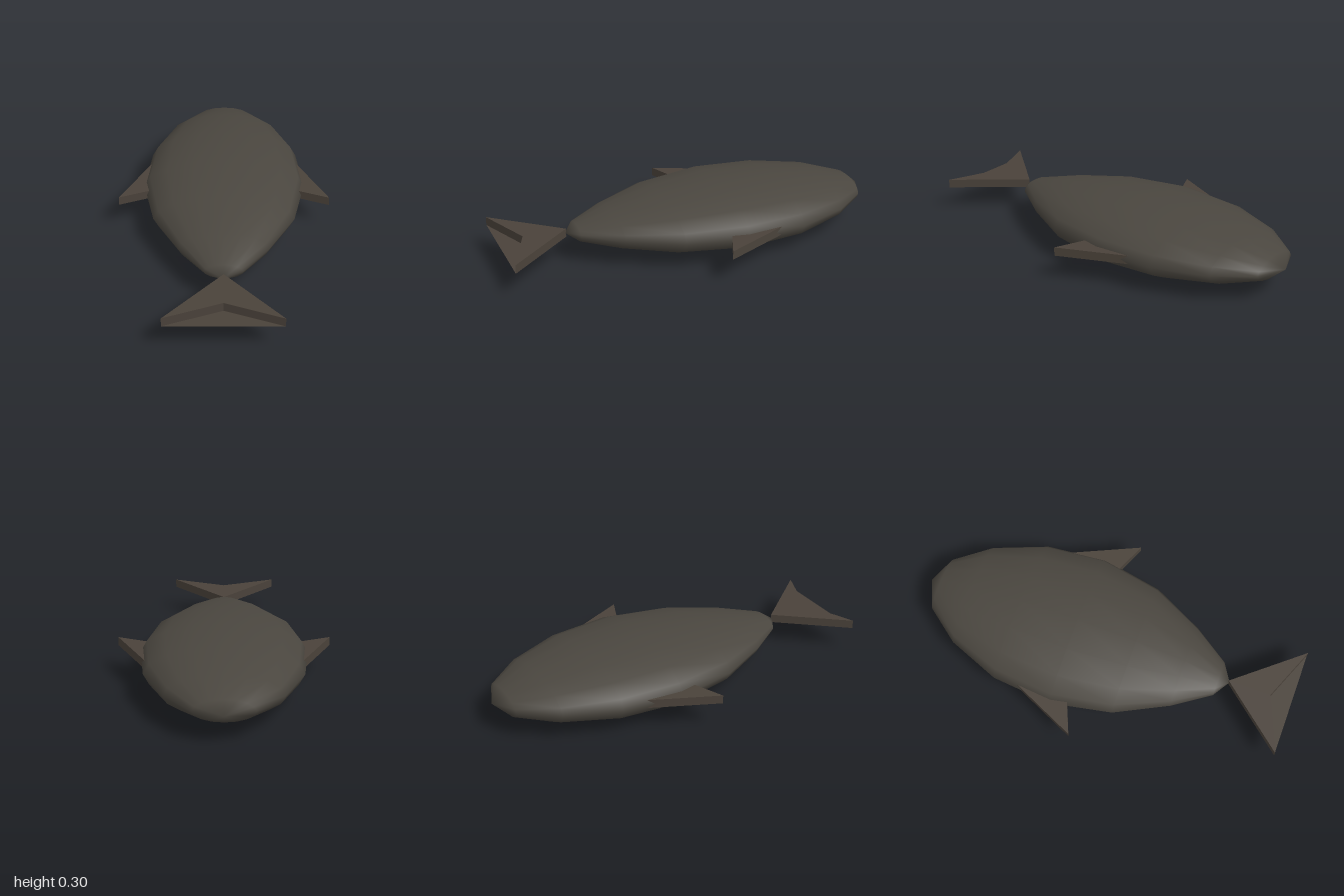
import * as THREE from 'three';

const MID = 0.155;      // height of the body's centre line
const FIN_T = 0.045;    // fin thickness

// Lofted body: [z, half width, half height] rings from nose to tail root
const RINGS = [
  [-0.937, 0.148, 0.056], [-0.758, 0.287, 0.105], [-0.485, 0.395, 0.14], [-0.167, 0.425, 0.15],
  [0.152, 0.362, 0.128], [0.42, 0.225, 0.085], [0.608, 0.095, 0.04],
];
const SIDES = 16;

function bodyGeometry() {
  const pos = [0, MID, -1];
  const index = [];
  for (const [z, w, h] of RINGS) {
    for (let i = 0; i < SIDES; i++) {
      const a = (i / SIDES) * Math.PI * 2;
      pos.push(w * Math.cos(a), MID + h * Math.sin(a), z);
    }
  }
  pos.push(0, MID, 0.667);
  const last = pos.length / 3 - 1;
  const at = (r, i) => 1 + r * SIDES + (i % SIDES);
  for (let i = 0; i < SIDES; i++) {
    index.push(0, at(0, i + 1), at(0, i));
    for (let r = 0; r < RINGS.length - 1; r++) {
      index.push(at(r, i), at(r, i + 1), at(r + 1, i + 1));
      index.push(at(r, i), at(r + 1, i + 1), at(r + 1, i));
    }
    index.push(last, at(RINGS.length - 1, i), at(RINGS.length - 1, i + 1));
  }
  const g = new THREE.BufferGeometry();
  g.setAttribute('position', new THREE.Float32BufferAttribute(pos, 3));
  g.setIndex(index);
  g.computeVertexNormals();
  return g;
}

// Flat shape drawn in [x, z], laid level at the body's middle
function outline(points) {
  return new THREE.Shape(points.map(([x, z]) => new THREE.Vector2(x, -z)));
}

function plate(points) {
  const g = new THREE.ExtrudeGeometry(outline(points), { depth: FIN_T, bevelEnabled: false });
  return g.rotateX(-Math.PI / 2).translate(0, MID - FIN_T / 2, 0);
}

export function createModel() {
  const group = new THREE.Group();
  const bodyMat = new THREE.MeshStandardMaterial({ color: 0x4a463f, name: 'greyBrown' });
  const finMat = new THREE.MeshStandardMaterial({ color: 0x4a423a, name: 'finBrown', side: THREE.DoubleSide });
  const add = (name, geometry, material) => {
    const mesh = new THREE.Mesh(geometry, material);
    mesh.name = name;
    group.add(mesh);
  };

  add('body', bodyGeometry(), bodyMat);

  // Side fins, swept back from inside the body
  for (const [name, s] of [['leftFin', 1], ['rightFin', -1]]) {
    add(name, plate([[s * 0.36, -0.43], [s * 0.55, -0.015], [s * 0.36, -0.095]]), finMat);
  }

  // Notched tail fin, with its underside closed across the notch
  add('tailFin', plate([[0, 0.66], [-0.285, 1], [0, 0.885], [0.285, 1]]), finMat);
  const web = new THREE.ShapeGeometry(outline([[0, 0.885], [-0.285, 1], [0.285, 1]]));
  web.rotateX(Math.PI / 2).scale(1, 1, -1);
  // The underside faces down
  const flat = new THREE.ShapeGeometry(outline([[0, 0.885], [-0.285, 1], [0.285, 1]]));
  flat.rotateX(-Math.PI / 2).translate(0, MID - FIN_T / 2, 0);
  web.dispose();
  add('tailUnderside', flat, finMat);
  return group;
}
